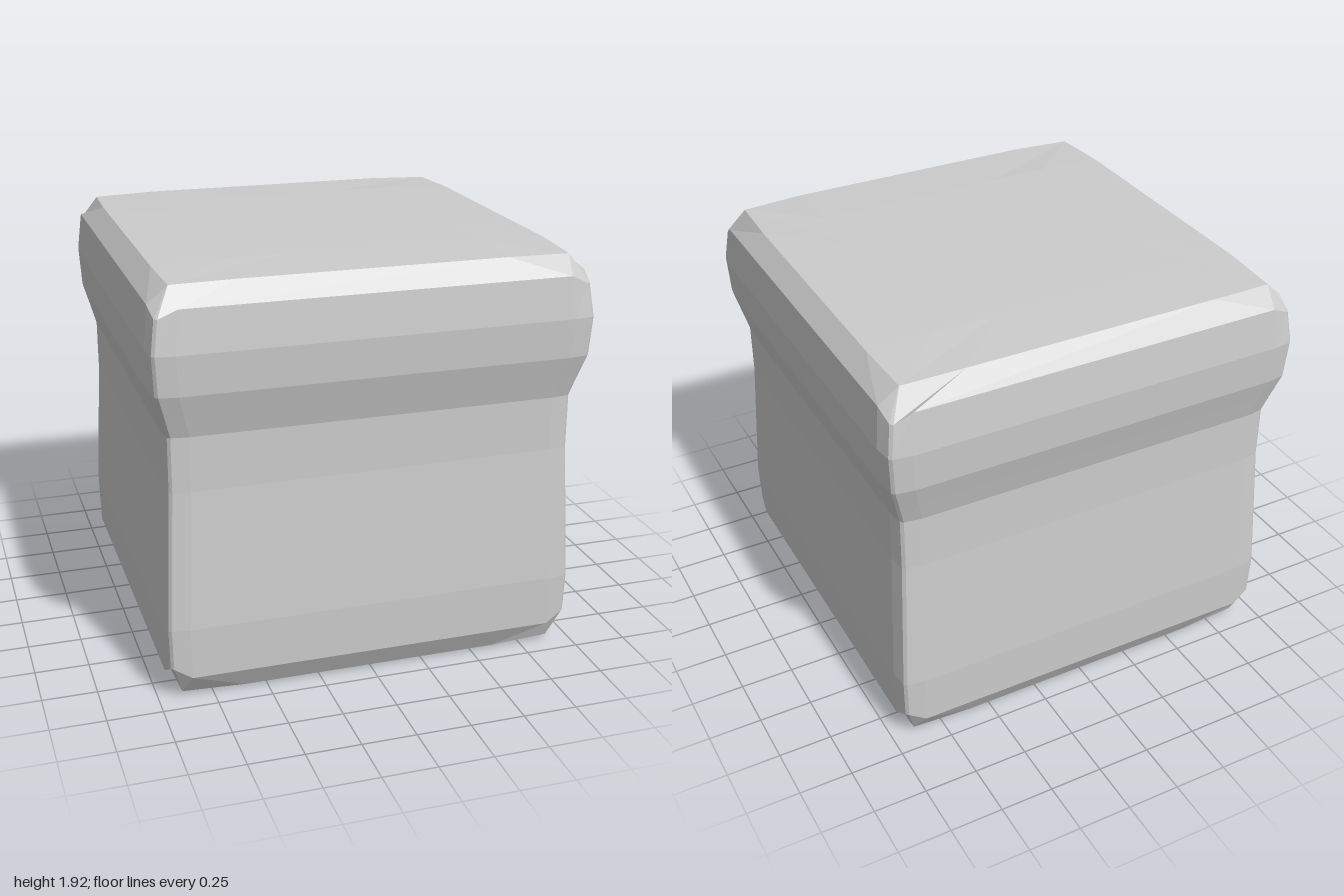
import * as THREE from 'three';

// Horizontal rings, bottom to top.
// [y at side, half width at side, side point u, y at corner, corner u, corner half width]
const bevelled = (y, w, yc = y) => [y, w, 0.89 * w, yc, w - 0.025, w - 0.012];
const RINGS = [
  [0, 0.6, 0.3, 0, 0.6, 0.6],
  [0.012, 0.9, 0.6, 0.02, 0.89, 0.89],
  bevelled(0.12, 0.96, 0.168),
  bevelled(0.36, 0.965),
  bevelled(1.0, 0.935),
  bevelled(1.25, 0.935),
  bevelled(1.35, 0.962),
  bevelled(1.45, 0.99),
  bevelled(1.63, 1.0),
  bevelled(1.82, 0.98, 1.78),
  [1.907, 0.905, 0.6, 1.9, 0.892, 0.892],
  [1.917, 0.6, 0.3, 1.917, 0.6, 0.6],
];

// Four points per side, turned a quarter for each of the four sides
function ringPoints([y, w, u, yc, uc, wc]) {
  const side = [[-uc, yc, wc], [-u, y, w], [u, y, w], [uc, yc, wc]];
  const points = [];
  for (let k = 0; k < 4; k++) {
    for (const [px, py, pz] of side) {
      let x = px, z = pz;
      for (let t = 0; t < k; t++) [x, z] = [z, -x];
      points.push(new THREE.Vector3(x, py, z));
    }
  }
  return points;
}

function loftGeometry() {
  const rings = RINGS.map(ringPoints);
  const positions = [];
  const tri = (a, b, c) => {
    // Skip triangles that collapse at the cap corners
    const area = b.clone().sub(a).cross(c.clone().sub(a)).length();
    if (area > 1e-7) for (const p of [a, b, c]) positions.push(p.x, p.y, p.z);
  };
  const n = rings[0].length;
  const last = rings[rings.length - 1];
  const bottom = new THREE.Vector3(0, RINGS[0][0], 0);
  const top = new THREE.Vector3(0, last[0].y, 0);
  for (let i = 0; i < n; i++) {
    const j = (i + 1) % n;
    for (let r = 0; r < rings.length - 1; r++) {
      const lo = rings[r], hi = rings[r + 1];
      tri(lo[i], lo[j], hi[j]);
      tri(lo[i], hi[j], hi[i]);
    }
    tri(bottom, rings[0][j], rings[0][i]);
    tri(top, last[i], last[j]);
  }
  const geometry = new THREE.BufferGeometry();
  geometry.setAttribute('position', new THREE.Float32BufferAttribute(positions, 3));
  geometry.computeVertexNormals();
  return geometry;
}

export function createModel() {
  const group = new THREE.Group();
  group.name = 'roundedBlock';
  // Square block with a flared upper band and bevelled edges
  const block = new THREE.Mesh(
    loftGeometry(),
    new THREE.MeshStandardMaterial({ color: 0xcccccc, flatShading: true })
  );
  block.name = 'flaredBlock';
  group.add(block);
  return group;
}
